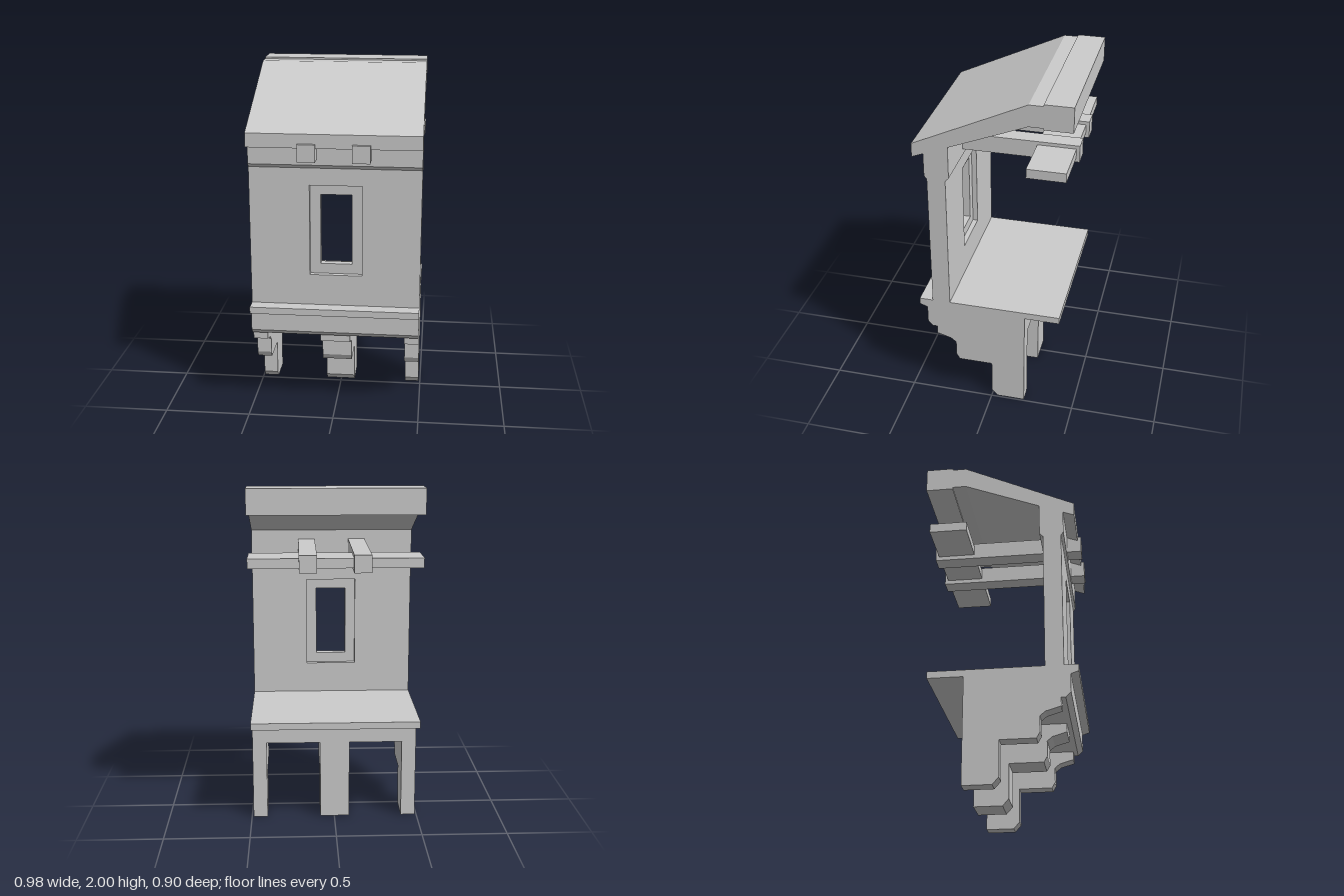
import * as THREE from 'three';

const material = new THREE.MeshStandardMaterial({ color: 0xcccccc, flatShading: true });
const HALF = 0.49;

function add(group, name, geometry) {
  const mesh = new THREE.Mesh(geometry, material);
  mesh.name = name;
  group.add(mesh);
  return mesh;
}

// Box given by its limits on each axis
function block(x0, x1, y0, y1, z0, z1) {
  return new THREE.BoxGeometry(x1 - x0, y1 - y0, z1 - z0)
    .translate((x0 + x1) / 2, (y0 + y1) / 2, (z0 + z1) / 2);
}

// Side profile of [z, y] points, extruded across x
function across(points, x0, x1) {
  const shape = new THREE.Shape(points.map(([z, y]) => new THREE.Vector2(z, y)));
  return new THREE.ExtrudeGeometry(shape, { depth: x1 - x0, bevelEnabled: false })
    .rotateY(-Math.PI / 2).translate(x1, 0, 0);
}

function rectangle(target, [x0, x1, y0, y1]) {
  target.moveTo(x0, y0);
  target.lineTo(x1, y0);
  target.lineTo(x1, y1);
  target.lineTo(x0, y1);
  target.closePath();
  return target;
}

// Upright panel with a rectangular opening
function panel(outer, opening, z0, z1) {
  const shape = rectangle(new THREE.Shape(), outer);
  shape.holes.push(rectangle(new THREE.Path(), opening));
  return new THREE.ExtrudeGeometry(shape, { depth: z1 - z0, bevelEnabled: false }).translate(0, 0, z0);
}

export function createModel() {
  const model = new THREE.Group();
  model.name = 'overhangingBay';

  // Wall with a recessed window on both faces
  const recess = [-0.145, 0.155, 0.845, 1.38];
  const opening = [-0.085, 0.095, 0.905, 1.32];
  add(model, 'wall', panel([-HALF, HALF, 0.66, 1.48], recess, 0.25, 0.355));
  add(model, 'windowFrame', panel(recess, opening, 0.28, 0.325));

  // Thicker band at the head of the wall
  add(model, 'wallHead', across([
    [0.25, 1.48], [0.355, 1.48], [0.37, 1.5], [0.37, 1.66], [0.23, 1.7], [0.23, 1.5],
  ], -HALF, HALF));

  // Sloping roof with eave lip and ridge beam
  add(model, 'roof', across([
    [0.435, 1.69], [-0.21, 1.99], [-0.29, 1.99], [-0.29, 1.865],
    [-0.21, 1.865], [0.23, 1.69], [0.37, 1.635], [0.435, 1.61],
  ], -HALF, HALF));
  add(model, 'ridgeBeam', block(-HALF, HALF, 1.855, 2, -0.45, -0.29));

  // Ceiling joists passing through the wall, and the plank they carry
  for (const x of [-0.2, 0.105]) {
    add(model, 'joist', block(x, x + 0.1, 1.535, 1.635, -0.44, 0.455));
  }
  add(model, 'crossPlank', block(-HALF, HALF, 1.56, 1.615, -0.42, -0.2));

  // Floor slab with moulded front edge
  add(model, 'floor', across([
    [-0.405, 0.62], [0.39, 0.6], [0.435, 0.62], [0.435, 0.66], [-0.405, 0.66],
  ].map(([z, y], i) => (i === 1 ? [0.39, 0.605] : [z, i === 0 ? 0.62 : y]))
    .toSpliced(1, 0, [-0.2, 0.62], [0.38, 0.62]), -HALF, HALF));
  add(model, 'floorBeam', across([
    [-0.2, 0.47], [0.36, 0.47], [0.39, 0.5], [0.39, 0.62], [-0.2, 0.62],
  ], -HALF, HALF));

  // Three stepped brackets
  const step = [
    [-0.2, 0], [-0.035, 0], [0, 0.04], [0, 0.245], [0.2, 0.245], [0.22, 0.28],
    [0.22, 0.37], [0.25, 0.395], [0.335, 0.42], [0.335, 0.47], [-0.2, 0.47],
  ];
  for (const [x0, x1] of [[-HALF, -0.405], [-0.09, 0.085], [0.405, HALF]]) {
    add(model, 'bracket', across(step, x0, x1));
  }

  return model;
}
